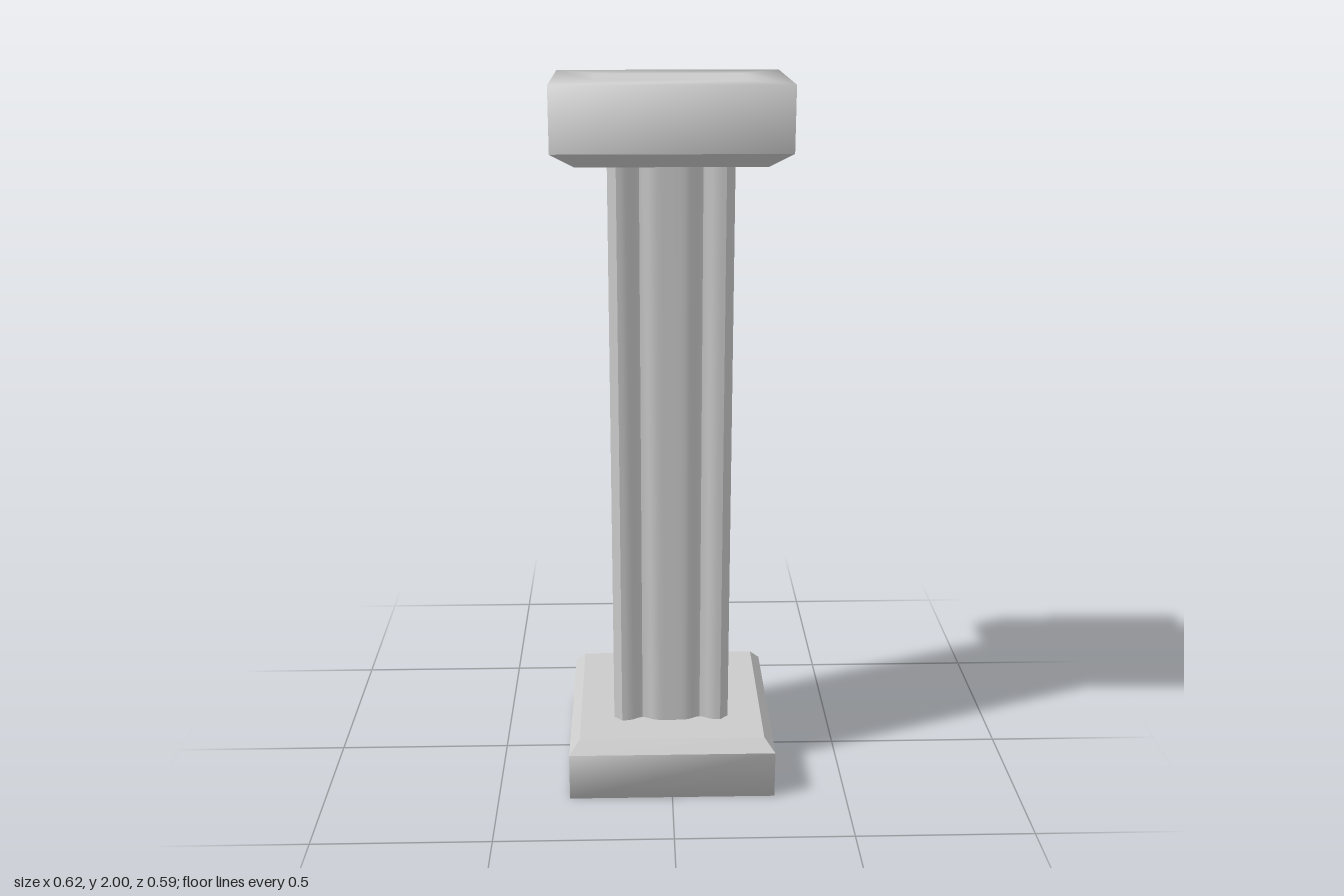
import * as THREE from 'three';
import { mergeVertices, toCreasedNormals } from 'three/addons/utils/BufferGeometryUtils.js';

const material = new THREE.MeshStandardMaterial({ color: 0xcccccc });

// Rectangular loft through rings [halfX, halfZ, y], listed along the surface from bottom to top
function loft(rings, smooth, capBottom, capTop) {
  const corners = [[1, 1], [1, -1], [-1, -1], [-1, 1]];
  const pos = [], idx = [];
  for (const [hx, hz, y] of rings) for (const [cx, cz] of corners) pos.push(cx * hx, y, cz * hz);
  for (let r = 0; r < rings.length - 1; r++) {
    for (let i = 0; i < 4; i++) {
      const a = r * 4 + i, b = r * 4 + (i + 1) % 4;
      idx.push(a, b, b + 4, a, b + 4, a + 4);
    }
  }
  const t = (rings.length - 1) * 4;
  if (capBottom) idx.push(0, 2, 1, 0, 3, 2);
  if (capTop) idx.push(t, t + 1, t + 2, t, t + 2, t + 3);
  let g = new THREE.BufferGeometry();
  g.setAttribute('position', new THREE.Float32BufferAttribute(pos, 3));
  g.setIndex(idx);
  if (!smooth) g = g.toNonIndexed();
  g.computeVertexNormals();
  return g;
}

// Square shaft outline with softened corners and two shallow flutes on each face
function shaftShape(hx, hz) {
  const pts = [], flat = 0.86, steps = 24;
  for (let f = 0; f < 4; f++) {
    const a = f * Math.PI / 2, c = Math.round(Math.cos(a)), s = Math.round(Math.sin(a));
    for (let i = 0; i <= steps; i++) {
      const t = flat * (2 * i / steps - 1);
      const d = 1 - 0.12 * Math.exp(-(((Math.abs(t) - 0.5) / 0.15) ** 2));
      pts.push(new THREE.Vector2((d * c - t * s) * hx, (d * s + t * c) * hz));
    }
  }
  return new THREE.Shape(pts);
}

export function createModel() {
  const model = new THREE.Group();
  const add = (parent, name, geometry) => {
    const mesh = new THREE.Mesh(geometry, material);
    mesh.name = name;
    parent.add(mesh);
    return mesh;
  };

  // Square plinth with softly shaded block and bevelled top
  const base = new THREE.Group();
  base.name = 'base';
  add(base, 'baseBlock', loft([[0.17, 0.17, 0], [0.295, 0.295, 0], [0.295, 0.295, 0.14]], true, true, false));
  add(base, 'baseBevel', loft([[0.295, 0.295, 0.14], [0.265, 0.265, 0.175]], false, false, true));

  // Fluted shaft
  const y0 = 0.17, y1 = 1.8;
  let shaft = new THREE.ExtrudeGeometry(shaftShape(0.167, 0.16), { depth: y1 - y0, bevelEnabled: false });
  shaft.deleteAttribute('uv');
  shaft.deleteAttribute('normal');
  shaft = toCreasedNormals(mergeVertices(shaft), 0.6);
  shaft.rotateX(-Math.PI / 2).translate(0, y0, 0);

  // Capital: bevelled underside below a softly shaded block
  const capital = new THREE.Group();
  capital.name = 'capital';
  add(capital, 'capitalBevel', loft([[0.25, 0.18, 1.79], [0.31, 0.235, 1.83]], false, true, false));
  add(capital, 'capitalBlock', loft([[0.31, 0.235, 1.83], [0.31, 0.235, 2], [0.2, 0.11, 2]], true, false, true));

  model.add(base);
  add(model, 'shaft', shaft);
  model.add(capital);
  return model;
}
